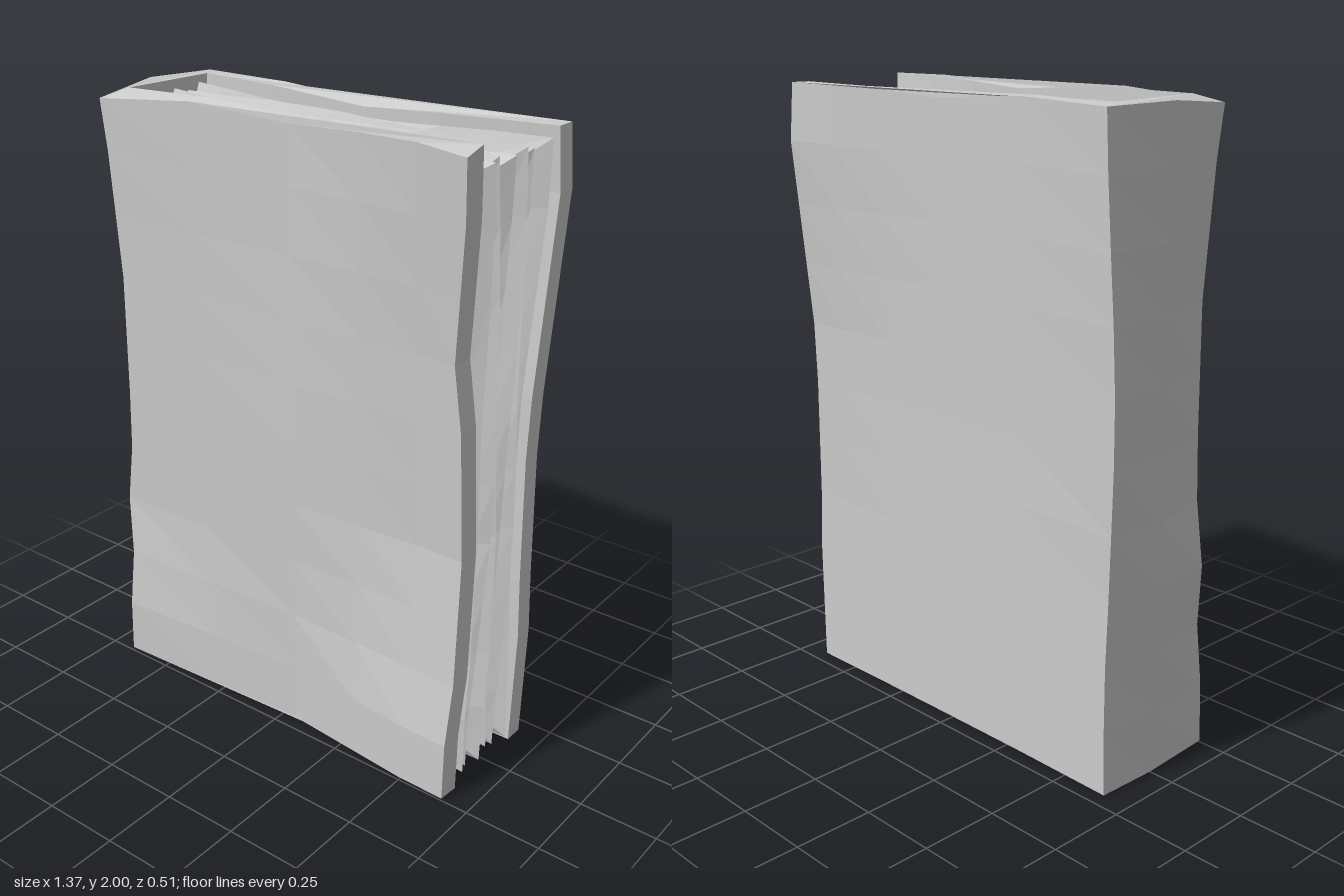
import * as THREE from 'three';

const material = new THREE.MeshStandardMaterial({ color: 0xcccccc, flatShading: true, side: THREE.DoubleSide });

// Piecewise linear profile through [position, value] pairs
function profile(points, t) {
  if (t <= points[0][0]) return points[0][1];
  for (let i = 1; i < points.length; i++) {
    const [a, va] = points[i - 1], [b, vb] = points[i];
    if (t <= b) return va + (vb - va) * (t - a) / (b - a);
  }
  return points[points.length - 1][1];
}

// Worn outlines of the two covers and the spine, by height
const frontLeft = [[0, 0.245], [0.2, 0.25], [0.6, 0.22], [1, 0.23], [1.4, 0.235], [2, 0.255]];
const frontMid = [[0, 0.2], [1, 0.212], [2, 0.215]];
const frontRight = [[0, 0.25], [0.2, 0.25], [0.4, 0.22], [0.8, 0.185], [1.4, 0.205], [1.8, 0.235], [2, 0.25]];
const backLeft = [[0, -0.2], [0.6, -0.19], [1.2, -0.205], [2, -0.235]];
const backMid = [[0, -0.195], [1, -0.185], [2, -0.198]];
const backRight = [[0, -0.2], [0.6, -0.19], [1.2, -0.2], [1.8, -0.255], [2, -0.25]];
const spineFront = [[0, -0.66], [0.4, -0.64], [0.6, -0.66], [0.85, -0.62], [1.4, -0.61], [1.8, -0.63], [2, -0.645]];
const spineMid = [[0, -0.665], [0.2, -0.672], [0.6, -0.685], [1, -0.668], [1.4, -0.68], [2, -0.682]];
const foreFront = [[0, 0.66], [0.4, 0.665], [0.9, 0.65], [1.2, 0.64], [1.4, 0.615], [1.8, 0.65], [2, 0.655]];
const foreBack = [[0, 0.66], [0.4, 0.675], [1, 0.66], [1.8, 0.68], [2, 0.668]];
const topEdge = [[-0.66, -0.02], [-0.45, 0], [0.05, -0.025], [0.3, -0.01], [0.65, 0]];

const outerFront = (x, y) => profile([[-0.65, profile(frontLeft, y)], [0.05, profile(frontMid, y)],
  [0.5, profile(frontRight, y) - 0.004], [0.65, profile(frontRight, y)]], x);
const outerBack = (x, y) => profile([[-0.65, profile(backLeft, y)], [-0.3, profile(backMid, y)],
  [0.2, profile(backMid, y)], [0.65, profile(backRight, y)]], x);

// Move every vertex by a rule, then refresh the normals
function warp(geometry, rule) {
  const p = geometry.attributes.position, v = new THREE.Vector3();
  for (let i = 0; i < p.count; i++) {
    v.fromBufferAttribute(p, i);
    rule(v);
    p.setXYZ(i, v.x, v.y, v.z);
  }
  geometry.computeVertexNormals();
  return geometry;
}

// Cover: a U-shaped section wrapped around the spine, extruded upwards
function makeCover() {
  const xs = [-0.65, -0.3, 0.05, 0.3, 0.5, 0.65];
  const inner = [-0.595, ...xs.slice(1)];
  const line = (list, z) => list.map(x => new THREE.Vector2(x, -z));
  const outline = [
    ...line(xs, 0.23), ...line(inner, 0.155).reverse(),
    ...line(inner, -0.135), ...line(xs, -0.2).reverse(),
    new THREE.Vector2(-0.67, 0),
  ];
  const geometry = new THREE.ExtrudeGeometry(new THREE.Shape(outline), { depth: 2, steps: 10, bevelEnabled: false });
  geometry.rotateX(-Math.PI / 2);
  return warp(geometry, v => {
    const { x, y, z } = v;
    if (z > 0.01) v.z += outerFront(x, y) - 0.23;
    else if (z < -0.01) v.z += outerBack(x, y) + 0.2;
    if (x < -0.66) v.x = profile(spineMid, y);
    else if (x < -0.64) v.x = z > 0 ? profile(spineFront, y) : -0.658 + 0.012 * Math.sin(y * 4);
    else if (x > 0.64) v.x = profile(z > 0 ? foreFront : foreBack, y);
    if (y > 1.99) {
      v.y += profile(topEdge, x);
      if (z < 0) v.y -= 0.012 + 0.006 * x;
      if (z > 0.2 && Math.abs(x) > 0.55) v.y -= 0.02;
    } else if (y < 0.01 && z > 0.2) v.y += 0.012 * Math.abs(x);
  });
}

// Page block: alternate rows across its thickness sink in to form wavy leaves
function makePages() {
  const rows = 12, x0 = -0.6, x1 = 0.65, y0 = 0.035, y1 = 1.955;
  const geometry = new THREE.BoxGeometry(x1 - x0, y1 - y0, 1, 8, 10, rows);
  geometry.translate((x0 + x1) / 2, (y0 + y1) / 2, 0.5);
  return warp(geometry, v => {
    const { x, y } = v;
    const row = Math.round(v.z * rows), groove = row % 2 === 0;
    const inside = row > 0 && row < rows;
    const near = outerBack(x, y) + 0.069, far = outerFront(x, y) - 0.079;
    v.z = near + (far - near) * v.z;
    if (inside) v.z += 0.007 * Math.sin(x * 7 + row * 2.3) * Math.cos(y * 4 + row);
    if (y > y1 - 0.01) v.y -= groove ? 0.05 : 0.008 + 0.01 * Math.sin(x * 5 + row * 1.7);
    if (y < y0 + 0.01) v.y += groove ? 0.04 : 0.01 * Math.sin(x * 6 + row * 2.1);
    if (x > x1 - 0.01) v.x += (groove ? -0.045 : 0.005) + 0.012 * Math.sin(y * 3 + row * 1.9);
  });
}

export function createModel() {
  const group = new THREE.Group();
  group.name = 'book';
  const parts = { cover: makeCover(), pages: makePages() };
  for (const [name, geometry] of Object.entries(parts)) {
    const mesh = new THREE.Mesh(geometry, material);
    mesh.name = name;
    group.add(mesh);
  }
  return group;
}
